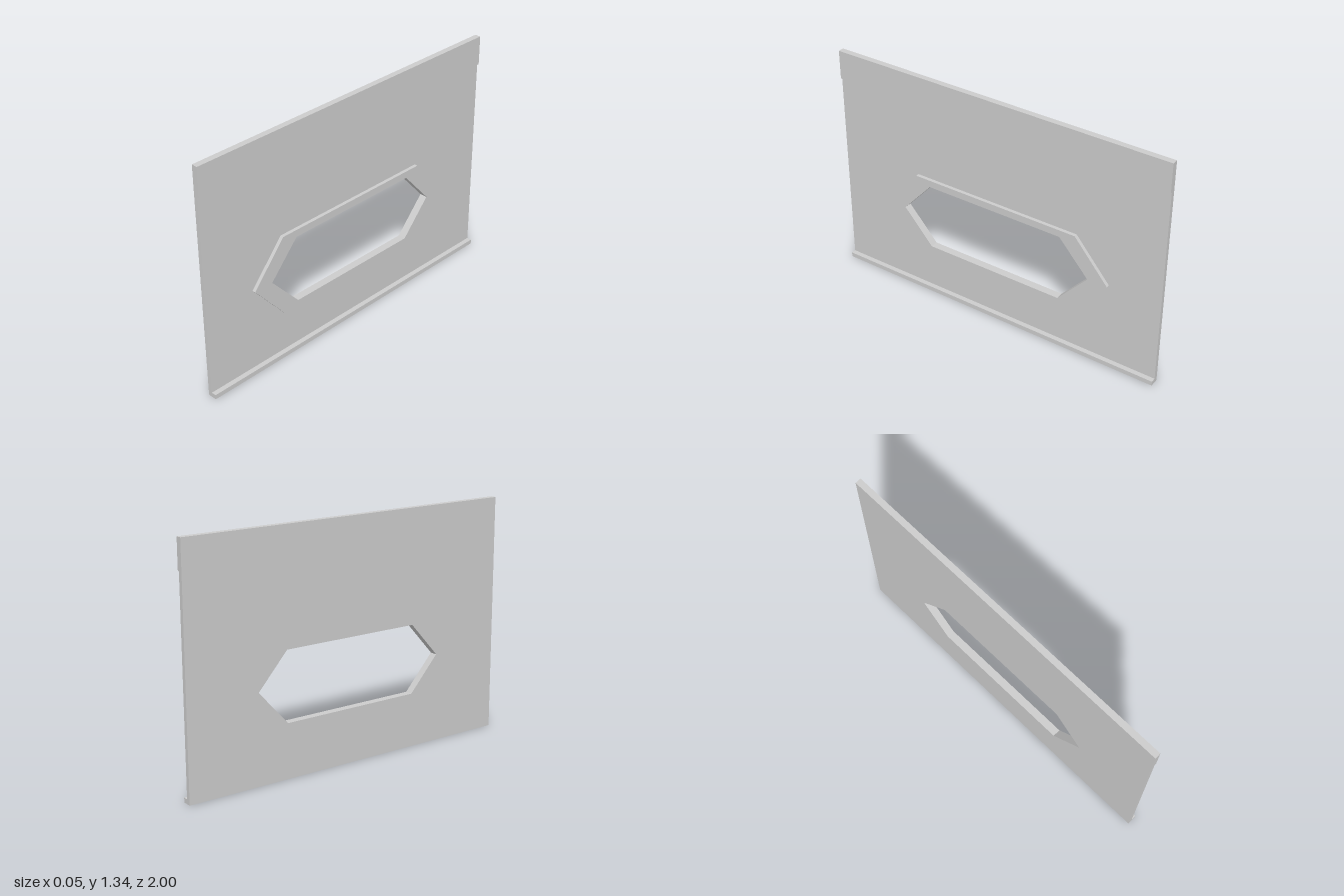
import * as THREE from 'three';

const BACK = -0.026;   // x of the flat rear face
const FACE = -0.002;   // x of the panel's front face
const LENGTH = 2;
const HOLE_Y = 0.5;    // centre height of the window

// Elongated hexagon: half width at the points, half width of the flats, half height
function hexagon(PathType, tip, flat, h) {
  return new PathType([
    [-tip, 0], [-flat, -h], [flat, -h], [tip, 0], [flat, h], [-flat, h],
  ].map(([u, v]) => new THREE.Vector2(u, HOLE_Y + v)));
}

export function createModel() {
  const group = new THREE.Group();
  const material = new THREE.MeshStandardMaterial({ color: 0xcccccc, flatShading: true });

  const add = (name, geometry) => {
    const mesh = new THREE.Mesh(geometry, material);
    mesh.name = name;
    group.add(mesh);
  };

  // Full-length bar between two heights, flush with the rear face
  const bar = (name, y0, y1, front) => add(name,
    new THREE.BoxGeometry(front - BACK, y1 - y0, LENGTH)
      .translate((front + BACK) / 2, (y0 + y1) / 2, 0));

  // Upright slab with the window cut out, extruded along x
  const slab = (name, shape, x0, x1) => {
    shape.holes.push(hexagon(THREE.Path, 0.585, 0.41, 0.195));
    add(name, new THREE.ExtrudeGeometry(shape, { depth: x1 - x0, bevelEnabled: false })
      .rotateY(Math.PI / 2).translate(x0, 0, 0));
  };

  // Main wall panel
  const half = LENGTH / 2;
  const wall = new THREE.Shape([
    [-half, 0.026], [half, 0.026], [half, 1.17], [-half, 1.17],
  ].map(([u, v]) => new THREE.Vector2(u, v)));
  slab('wallPanel', wall, BACK, FACE);

  // Raised window surround
  slab('windowFrame', hexagon(THREE.Shape, 0.7, 0.5, 0.235), FACE, 0.018);

  // Thicker top band and projecting bottom ledge
  bar('topBand', 1.17, 1.335, 0.008);
  bar('bottomLedge', 0, 0.026, 0.026);

  return group;
}
